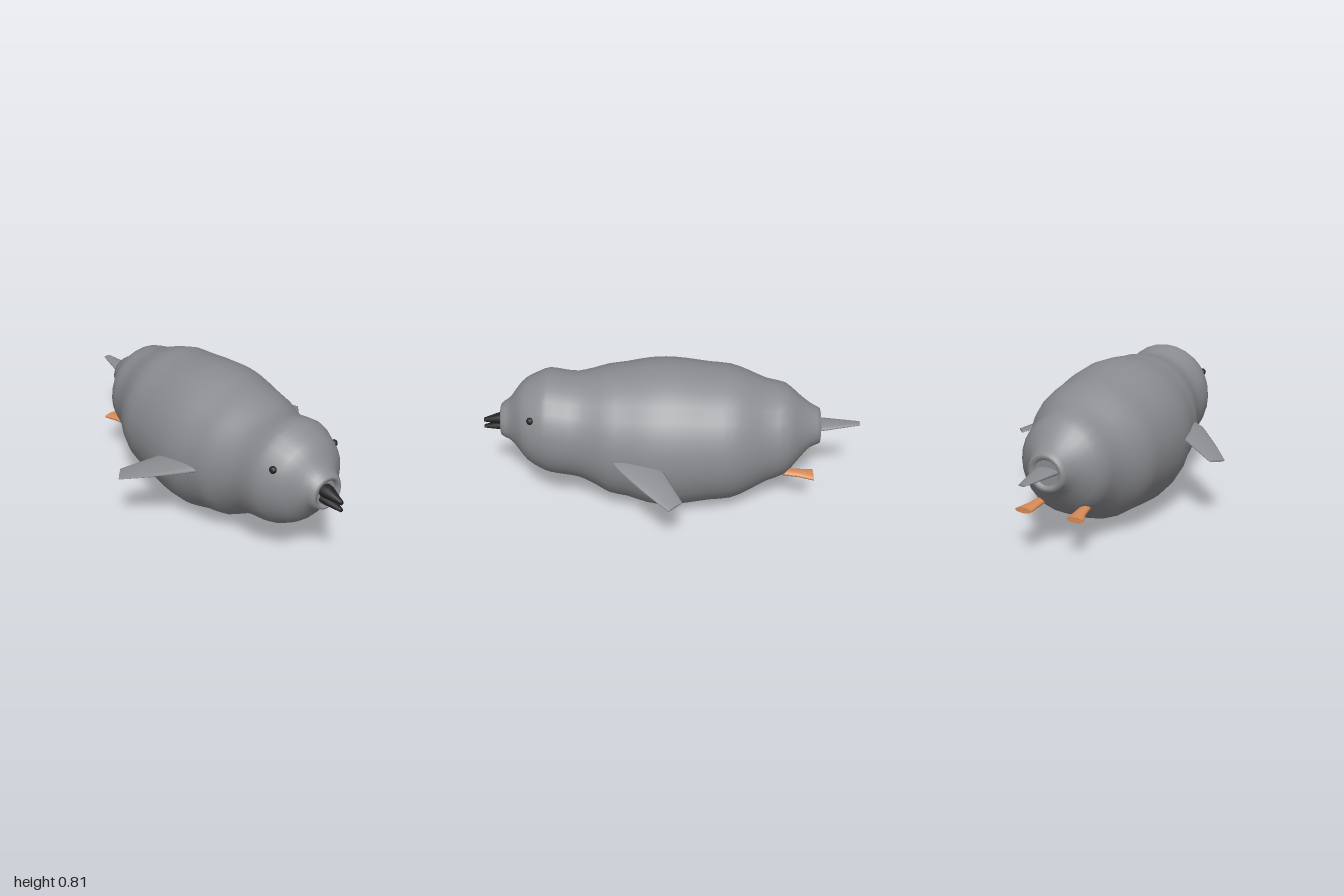
import * as THREE from 'three';

const mat = (name, color) => {
  const m = new THREE.MeshStandardMaterial({ color });
  m.name = name;
  return m;
};

// Skin over elliptical sections { c: centre, u, v: half-axes }, ends capped; u x v points along the run.
function loft(sections, n) {
  const pos = [], idx = [];
  const ring = (s) => {
    const start = pos.length / 3;
    for (let j = 0; j < n; j++) {
      const a = (j / n) * Math.PI * 2;
      for (let k = 0; k < 3; k++) pos.push(s.c[k] + s.u[k] * Math.cos(a) + s.v[k] * Math.sin(a));
    }
    return start;
  };
  const starts = sections.map(ring);
  for (let i = 0; i + 1 < starts.length; i++) {
    for (let j = 0; j < n; j++) {
      const k = (j + 1) % n, a = starts[i], b = starts[i + 1];
      idx.push(a + j, a + k, b + j, a + k, b + k, b + j);
    }
  }
  [sections[0], sections[sections.length - 1]].forEach((s, end) => {
    const start = ring(s), mid = pos.length / 3;
    pos.push(...s.c);
    for (let j = 0; j < n; j++) {
      const k = (j + 1) % n;
      idx.push(mid, start + (end ? j : k), start + (end ? k : j));
    }
  });
  const g = new THREE.BufferGeometry();
  g.setAttribute('position', new THREE.Float32BufferAttribute(pos, 3));
  g.setIndex(idx);
  g.computeVertexNormals();
  return g;
}

// Section across the x axis
const across = (x, y, z, ry, rz) => ({ c: [x, y, z], u: [0, ry, 0], v: [0, 0, rz] });

// Body stations: x, top, bottom, half width
const BODY = [
  [-0.785, 0.54, 0.35, 0.095], [-0.73, 0.572, 0.325, 0.12], [-0.67, 0.62, 0.255, 0.17],
  [-0.6, 0.678, 0.178, 0.234], [-0.5, 0.703, 0.132, 0.258], [-0.4, 0.745, 0.08, 0.31],
  [-0.31, 0.775, 0.045, 0.348], [-0.2, 0.786, 0.035, 0.36], [-0.08, 0.804, 0.015, 0.373],
  [0.03, 0.813, 0.003, 0.378], [0.13, 0.806, 0.017, 0.372], [0.24, 0.788, 0.054, 0.345],
  [0.33, 0.777, 0.072, 0.329], [0.41, 0.757, 0.12, 0.296], [0.49, 0.741, 0.16, 0.271],
  [0.56, 0.749, 0.175, 0.266], [0.64, 0.763, 0.19, 0.265], [0.7, 0.742, 0.215, 0.245],
  [0.767, 0.708, 0.262, 0.21], [0.81, 0.665, 0.315, 0.16], [0.853, 0.605, 0.365, 0.112],
  [0.885, 0.58, 0.385, 0.1], [0.903, 0.565, 0.395, 0.085],
];

function bodySections() {
  const [top, bottom, width] = [1, 2, 3].map((k) =>
    new THREE.SplineCurve(BODY.map((b) => new THREE.Vector2(b[0], b[k]))));
  const steps = (BODY.length - 1) * 2, out = [];
  for (let i = 0; i <= steps; i++) {
    const t = top.getPoint(i / steps), b = bottom.getPoint(i / steps).y;
    out.push(across(t.x, (t.y + b) / 2, 0, (t.y - b) / 2, width.getPoint(i / steps).y));
  }
  // Shallow recesses around the tail and the beak
  out.unshift(across(-0.77, 0.445, 0, 0.065, 0.065), across(-0.784, 0.445, 0, 0.075, 0.077));
  out.push(across(0.903, 0.478, 0, 0.073, 0.073), across(0.88, 0.478, 0, 0.065, 0.065));
  return out;
}

// Flipper section between a leading point and a trailing point
const chord = (f, b, thick, side) => ({
  c: [(f[0] + b[0]) / 2, (f[1] + b[1]) / 2, (side * (f[2] + b[2])) / 2],
  u: [(f[0] - b[0]) / 2, (f[1] - b[1]) / 2, (side * (f[2] - b[2])) / 2],
  v: [0, thick, 0],
});

export function createModel() {
  const group = new THREE.Group();
  group.name = 'swimmingBird';
  const grey = mat('grey feathers', 0x8b8c90);
  const orange = mat('orange feet', 0xd68a56);
  const black = mat('black beak and eyes', 0x222224);
  const add = (name, geometry, material) => {
    const m = new THREE.Mesh(geometry, material);
    m.name = name;
    group.add(m);
    return m;
  };

  add('body', loft(bodySections(), 28), grey);

  // Tail tapers to a narrow flat tip
  add('tail', loft([across(-1, 0.459, 0, 0.005, 0.019), across(-0.76, 0.452, 0, 0.021, 0.067)], 14), grey);

  // Two halves of the beak
  add('upperBeak', loft([
    across(0.87, 0.49, 0, 0.034, 0.038), across(0.91, 0.488, 0, 0.031, 0.036),
    across(1, 0.475, 0, 0.011, 0.01),
  ], 14), black);
  add('lowerBeak', loft([
    across(0.87, 0.447, 0, 0.025, 0.036), across(0.91, 0.445, 0, 0.023, 0.034),
    across(1, 0.434, 0, 0.009, 0.01),
  ], 14), black);

  for (const side of [1, -1]) {
    const label = side > 0 ? 'front' : 'back';

    // Swept flipper, root to tip
    const wing = [
      chord([0.33, 0.44, 0.29], [0.07, 0.425, 0.32], 0.022, side),
      chord([0.265, 0.427, 0.39], [0.03, 0.412, 0.395], 0.018, side),
      chord([0.14, 0.388, 0.508], [-0.013, 0.385, 0.475], 0.012, side),
      chord([0.015, 0.351, 0.612], [-0.055, 0.359, 0.552], 0.006, side),
    ];
    add(label + 'Flipper', loft(side > 0 ? wing : wing.reverse(), 16), grey);

    // Foot spreads towards the toes
    add(label + 'Foot', loft([
      across(-0.755, 0.222, side * 0.143, 0.015, 0.046),
      across(-0.68, 0.224, side * 0.13, 0.016, 0.032),
      across(-0.58, 0.228, side * 0.12, 0.017, 0.024),
    ], 16), orange);

    const eye = add(label + 'Eye', new THREE.SphereGeometry(0.02, 10, 8), black);
    eye.position.set(0.725, 0.603, side * 0.197);
  }
  return group;
}
